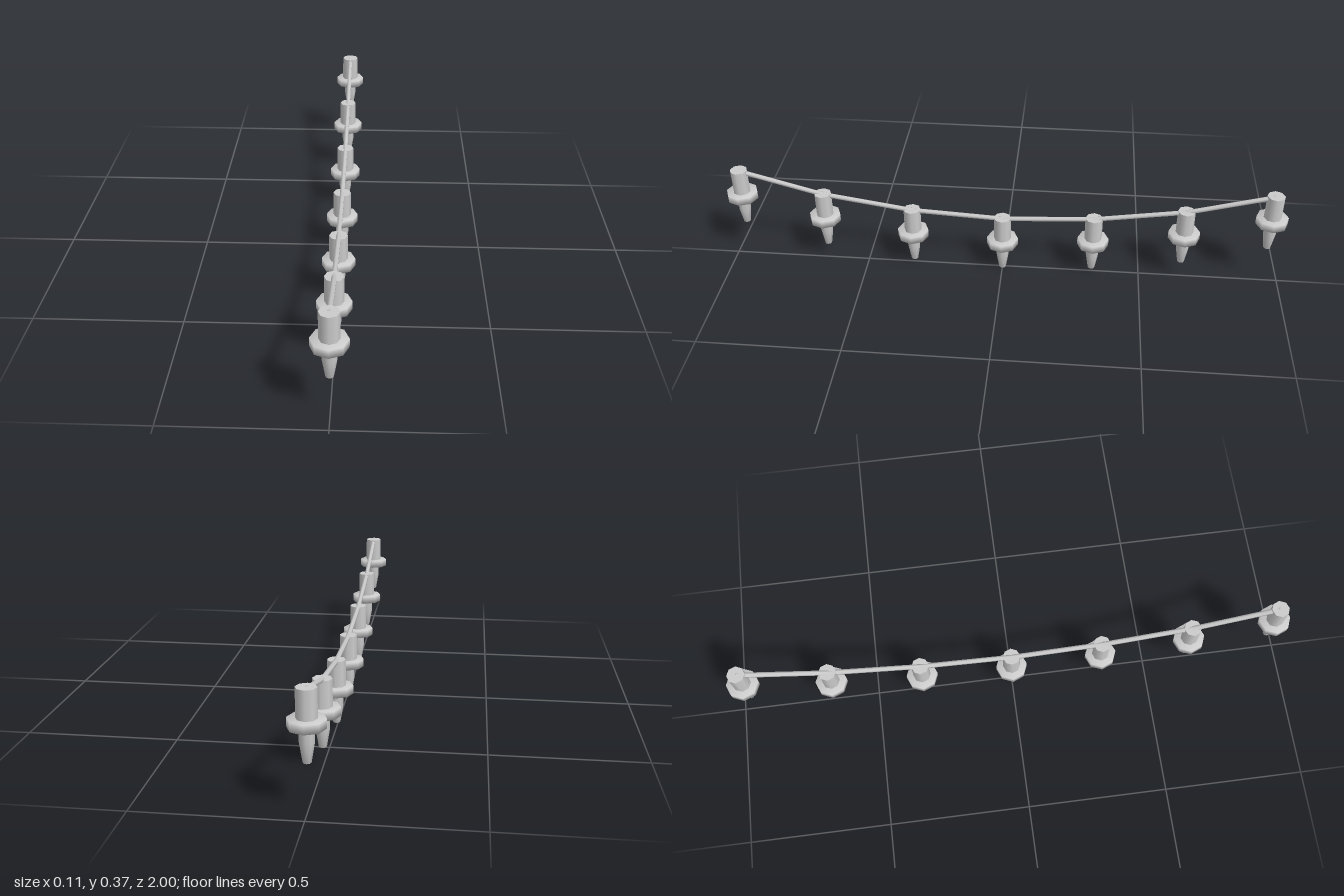
import * as THREE from 'three';

const SIDES = 8;
const LAMP_HEIGHT = 0.22;

const material = new THREE.MeshStandardMaterial({ color: 0xcccccc });

// Turned part from [radius, height] pairs, listed bottom to top
function turned(name, profile) {
  const points = profile.map(([r, y]) => new THREE.Vector2(r, y));
  const mesh = new THREE.Mesh(new THREE.LatheGeometry(points, SIDES), material);
  mesh.name = name;
  return mesh;
}

// One hanging lamp, standing on its bulb tip
function createLamp() {
  const lamp = new THREE.Group();
  lamp.name = 'lamp';
  lamp.add(
    turned('bulb', [[0, 0], [0.0125, 0], [0.0225, 0.06], [0.0225, 0.11]]),
    turned('collar', [[0, 0.103], [0.056, 0.103], [0.056, 0.131], [0, 0.131]])
  );
  const socket = new THREE.Mesh(
    new THREE.CylinderGeometry(0.031, 0.031, LAMP_HEIGHT - 0.12, SIDES), material);
  socket.name = 'socket';
  socket.position.y = (LAMP_HEIGHT + 0.12) / 2;
  lamp.add(socket);
  return lamp;
}

// Straight run of cable between two points
function createCable(from, to) {
  const dir = to.clone().sub(from);
  const cable = new THREE.Mesh(
    new THREE.CylinderGeometry(0.009, 0.009, dir.length(), 6), material);
  cable.name = 'cable';
  cable.position.copy(from).add(to).multiplyScalar(0.5);
  cable.quaternion.setFromUnitVectors(new THREE.Vector3(0, 1, 0), dir.normalize());
  return cable;
}

export function createModel() {
  const model = new THREE.Group();
  model.name = 'lampString';

  // Sagging row of lamps: [z, height of bulb tip], mirrored about the middle
  const half = [[0.327, 0.018], [0.648, 0.068], [0.944, 0.15]];
  const spots = [
    ...half.map(([z, y]) => [-z, y]).reverse(),
    [0, 0],
    ...half
  ];

  const anchors = spots.map(([z, y]) => {
    const lamp = createLamp();
    lamp.position.set(0, y, z);
    model.add(lamp);
    return new THREE.Vector3(0, y + LAMP_HEIGHT - 0.005, z);
  });

  // Cable from lamp to lamp
  for (let i = 1; i < anchors.length; i++) {
    model.add(createCable(anchors[i - 1], anchors[i]));
  }
  return model;
}
